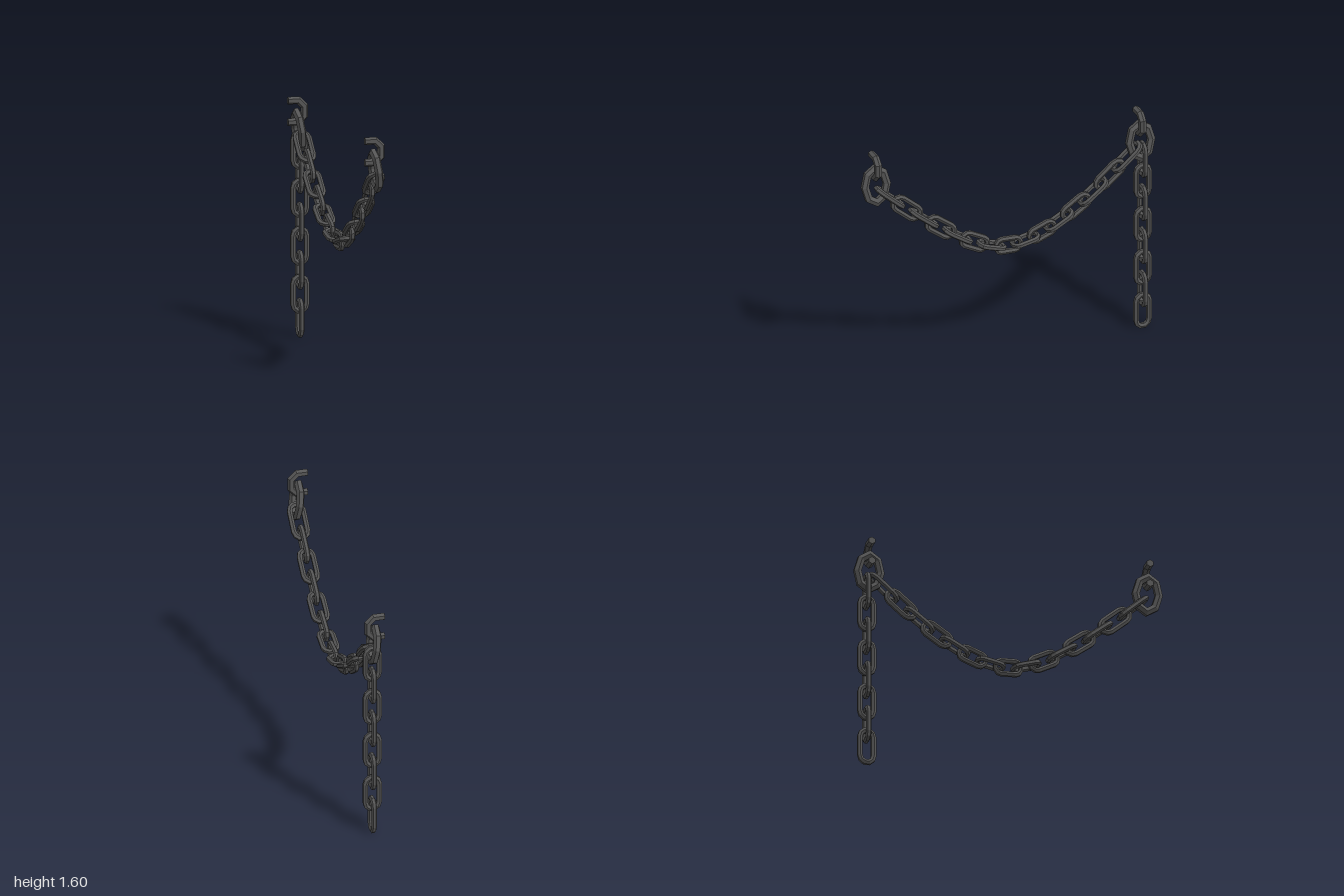
import * as THREE from 'three';

const material = new THREE.MeshStandardMaterial({ color: 0x555555, flatShading: true });

// Six-sided bar with mitred corners, swept along a planar counter-clockwise path
function bar(points, r, closed, phase) {
  const n = points.length, sides = 6, pos = [], index = [];
  const pts = points.map(([x, y]) => new THREE.Vector2(x, y));
  const dir = (a, b) => b.clone().sub(a).normalize();
  pts.forEach((p, i) => {
    const hasIn = closed || i > 0, hasOut = closed || i < n - 1;
    const tOut = hasOut ? dir(p, pts[(i + 1) % n]) : dir(pts[i - 1], p);
    const tIn = hasIn ? dir(pts[(i + n - 1) % n], p) : tOut;
    const t = tIn.clone().add(tOut).normalize();
    const miter = r / t.dot(tOut);
    for (let j = 0; j < sides; j++) {
      const a = (j + phase) * Math.PI * 2 / sides;
      pos.push(p.x + t.y * miter * Math.cos(a), p.y - t.x * miter * Math.cos(a), r * Math.sin(a));
    }
  });
  for (let i = 0; i < (closed ? n : n - 1); i++) {
    for (let j = 0; j < sides; j++) {
      const k = (j + 1) % sides, m = (i + 1) % n;
      const a = i * sides + j, b = m * sides + j, c = m * sides + k, d = i * sides + k;
      index.push(a, b, c, a, c, d);
    }
  }
  // End caps
  if (!closed) {
    const e = (n - 1) * sides;
    for (let j = 1; j < sides - 1; j++) index.push(0, j, j + 1, e, e + j + 1, e + j);
  }
  let geo = new THREE.BufferGeometry();
  geo.setAttribute('position', new THREE.Float32BufferAttribute(pos, 3));
  geo.setIndex(index);
  geo = geo.toNonIndexed();
  geo.computeVertexNormals();
  return geo;
}

export function createModel() {
  const model = new THREE.Group();
  model.name = 'hangingChain';

  // Link outline: the upper half, then the same turned by 180 degrees
  const half = [[0.044, 0.064], [0.036, 0.09], [0.015, 0.107], [-0.015, 0.107], [-0.036, 0.09], [-0.044, 0.064]];
  const linkGeo = bar([...half, ...half.map(([x, y]) => [-x, -y])], 0.018, true, 0.5);
  const ringGeo = bar(Array.from({ length: 8 }, (_, i) => {
    const a = i * Math.PI / 4;
    return [0.075 * Math.cos(a), 0.113 * Math.sin(a)];
  }), 0.026, true, 0.5);
  const hookGeo = bar([
    [-0.075, -0.068], [-0.008, -0.068], [0.029, -0.032],
    [0.029, 0.032], [-0.008, 0.068], [-0.075, 0.068],
  ], 0.024, false, 0);

  const add = (parent, geo, name, x, y, z) => {
    const mesh = new THREE.Mesh(geo, material);
    mesh.name = name;
    mesh.position.set(x, y, z);
    parent.add(mesh);
    return mesh;
  };

  // Wall hooks, each with a tilted ring hanging from it
  for (const [side, y, z] of [['front', 1.52, 0.9], ['back', 1.438, -0.897]]) {
    add(model, hookGeo, side + 'Hook', 0, y, z);
    const ring = add(model, ringGeo, side + 'Ring', -0.006, y - 0.12, z);
    ring.rotation.order = 'ZYX';
    ring.rotation.set(0, Math.PI / 2 + 0.03, 0.12);
  }

  // Sagging chain: links evenly spaced in z, shortened where the chain runs level,
  // and turned by a quarter in alternation
  const sag = new THREE.Group();
  sag.name = 'saggingChain';
  model.add(sag);
  const heights = [1.302, 1.2, 1.106, 1.016, 0.934, 0.864, 0.814, 0.79,
    0.801, 0.834, 0.887, 0.957, 1.038, 1.131, 1.23];
  const curve = new THREE.CatmullRomCurve3(
    heights.map((y, i) => new THREE.Vector3(0.005, y, 0.005 + (7 - i) * 0.115)));
  heights.forEach((_, i) => {
    const p = curve.getPoint(i / 14), t = curve.getTangent(i / 14);
    const link = add(sag, linkGeo, 'link', p.x, p.y, p.z);
    link.rotation.set(Math.atan2(t.z, t.y), i % 2 ? Math.PI / 2 : 0, 0);
    link.scale.y = 0.77 / Math.abs(t.z);
  });

  // Loose chain hanging straight down from the back ring
  const loose = new THREE.Group();
  loose.name = 'looseChain';
  model.add(loose);
  for (let i = 0; i < 8; i++) {
    const link = add(loose, linkGeo, 'link', 0.005, 0.131 + i * 0.1515, -0.908);
    link.rotation.y = i % 2 ? 0 : Math.PI / 2;
  }
  return model;
}
